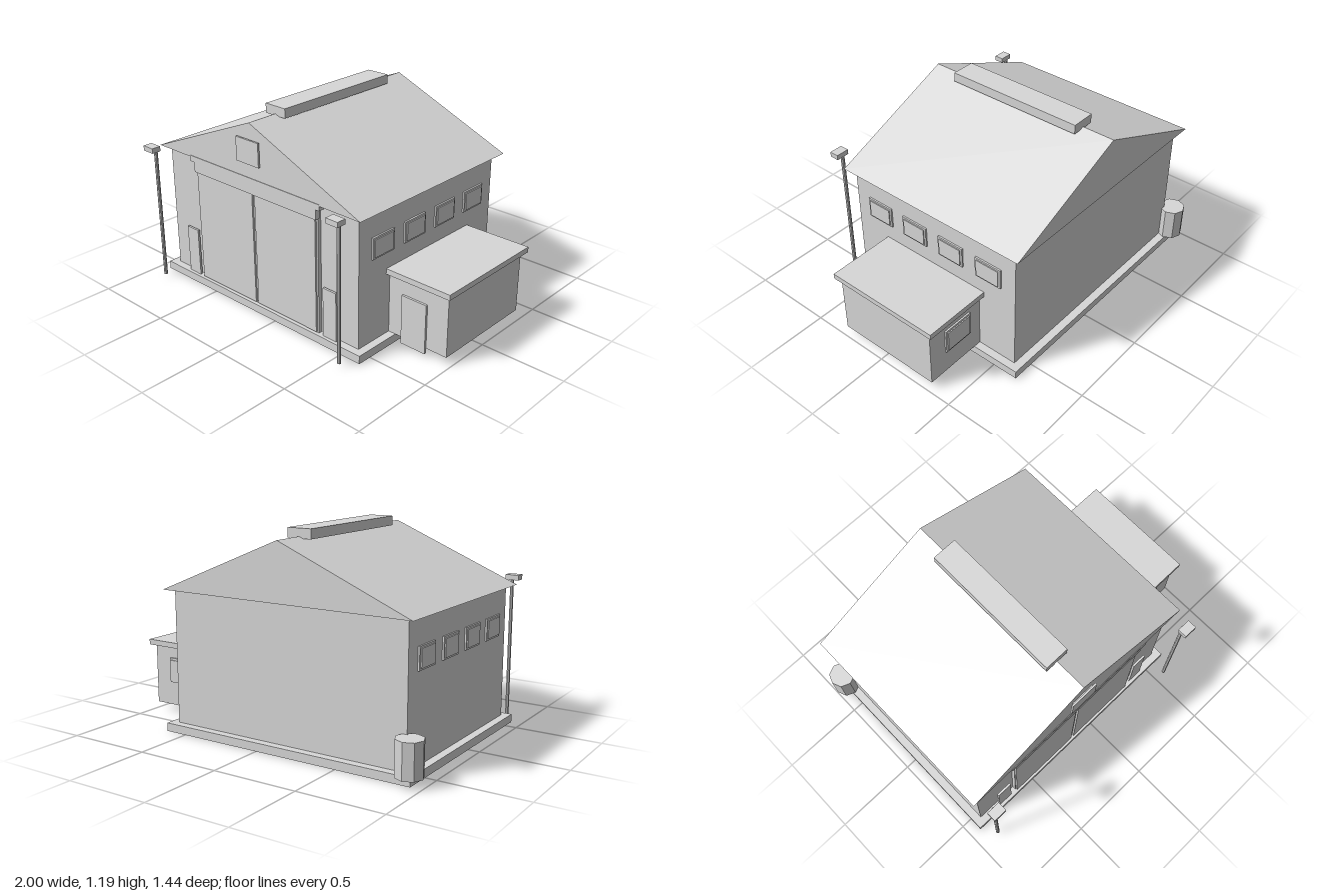
import * as THREE from 'three';

export function createModel() {
  const model = new THREE.Group();
  model.name = 'barn';
  const grey = new THREE.MeshStandardMaterial({ color: 0xd8d8d8, side: THREE.DoubleSide });
  grey.name = 'plain grey';

  const add = (name, geometry, x = 0, y = 0, z = 0) => {
    const mesh = new THREE.Mesh(geometry, grey);
    mesh.name = name;
    mesh.position.set(x, y, z);
    model.add(mesh);
    return mesh;
  };
  // Box given by its lower and upper limits on each axis
  const box = (name, x0, x1, y0, y1, z0, z1) =>
    add(name, new THREE.BoxGeometry(x1 - x0, y1 - y0, z1 - z0),
      (x0 + x1) / 2, (y0 + y1) / 2, (z0 + z1) / 2);
  // Upright cylinder with flat sides
  const post = (name, radius, y0, y1, x, z) => {
    const geometry = new THREE.CylinderGeometry(radius, radius, y1 - y0, 8).toNonIndexed();
    geometry.computeVertexNormals();
    add(name, geometry, x, (y0 + y1) / 2, z);
  };

  // Hollow plinth: a box whose bottom face is left out
  const slab = box('slab', -0.935, 0.633, 0, 0.048, -0.655, 0.585).geometry;
  const bottom = slab.groups[3];
  slab.setIndex(Array.from(slab.index.array)
    .filter((_, i) => i < bottom.start || i >= bottom.start + bottom.count));
  slab.clearGroups();

  // Main hall
  box('walls', -0.888, 0.586, 0.048, 0.818, -0.607, 0.54);

  // Solid gable roof, extruded along the ridge
  const gable = new THREE.Shape([
    new THREE.Vector2(-0.935, 0.818),
    new THREE.Vector2(0.633, 0.818),
    new THREE.Vector2(-0.151, 1.144),
  ]);
  add('roof', new THREE.ExtrudeGeometry(gable, { depth: 1.24, bevelEnabled: false }), 0, 0, -0.655);
  box('ridgeVent', -0.225, -0.078, 1.133, 1.188, -0.458, 0.39);
  box('gableHatchBacking', -0.225, -0.083, 0.93, 1.038, 0.58, 0.594);
  box('gableHatch', -0.24, -0.068, 0.914, 1.053, 0.592, 0.603);

  // Sliding doors with frame, header and track
  box('doorFrame', -0.625, 0.323, 0.048, 0.77, 0.535, 0.562);
  box('doorHeader', -0.63, 0.328, 0.732, 0.795, 0.555, 0.584);
  box('doorTrack', -0.66, 0.357, 0.793, 0.828, 0.553, 0.588);
  box('slidingDoor', -0.62, -0.163, 0.056, 0.735, 0.555, 0.573);
  box('slidingDoor', -0.143, 0.312, 0.056, 0.735, 0.555, 0.573);

  // Small doors beside the main opening
  for (const x of [-0.708, 0.403]) box('sideDoor', x - 0.047, x + 0.047, 0.048, 0.341, 0.553, 0.566);

  // Four windows along each long wall
  for (const [wall, side] of [[0.586, 1], [-0.888, -1]]) {
    for (const z of [0.357, 0.096, -0.165, -0.427]) {
      const layer = (name, depth, halfH, halfW) => {
        const ends = [wall - side * 0.005, wall + side * depth].sort((a, b) => a - b);
        box(name, ...ends, 0.603 - halfH, 0.603 + halfH, z - halfW, z + halfW);
      };
      layer('windowFrame', 0.01, 0.062, 0.086);
      layer('windowPane', 0.016, 0.051, 0.074);
    }
  }

  // Lean-to annex
  box('annexWalls', 0.58, 0.975, 0.048, 0.41, -0.36, 0.292);
  box('annexRoof', 0.58, 1, 0.41, 0.442, -0.394, 0.322);
  box('annexDoor', 0.68, 0.842, 0.018, 0.311, 0.292, 0.305);
  box('annexWindowFrame', 0.67, 0.862, 0.19, 0.34, -0.37, -0.355);
  box('annexWindowPane', 0.683, 0.849, 0.203, 0.327, -0.376, -0.355);

  // Lamp posts in front of both corners
  for (const x of [-0.871, 0.567]) {
    post('lampPost', 0.011, 0.018, 0.83, x, 0.668);
    box('lampHead', x - 0.04, x + 0.04, 0.828, 0.858, 0.664, 0.72);
  }

  // Eight-sided barrel at the rear corner
  post('barrel', 0.077, 0.048, 0.244, -0.923, -0.643);

  return model;
}
